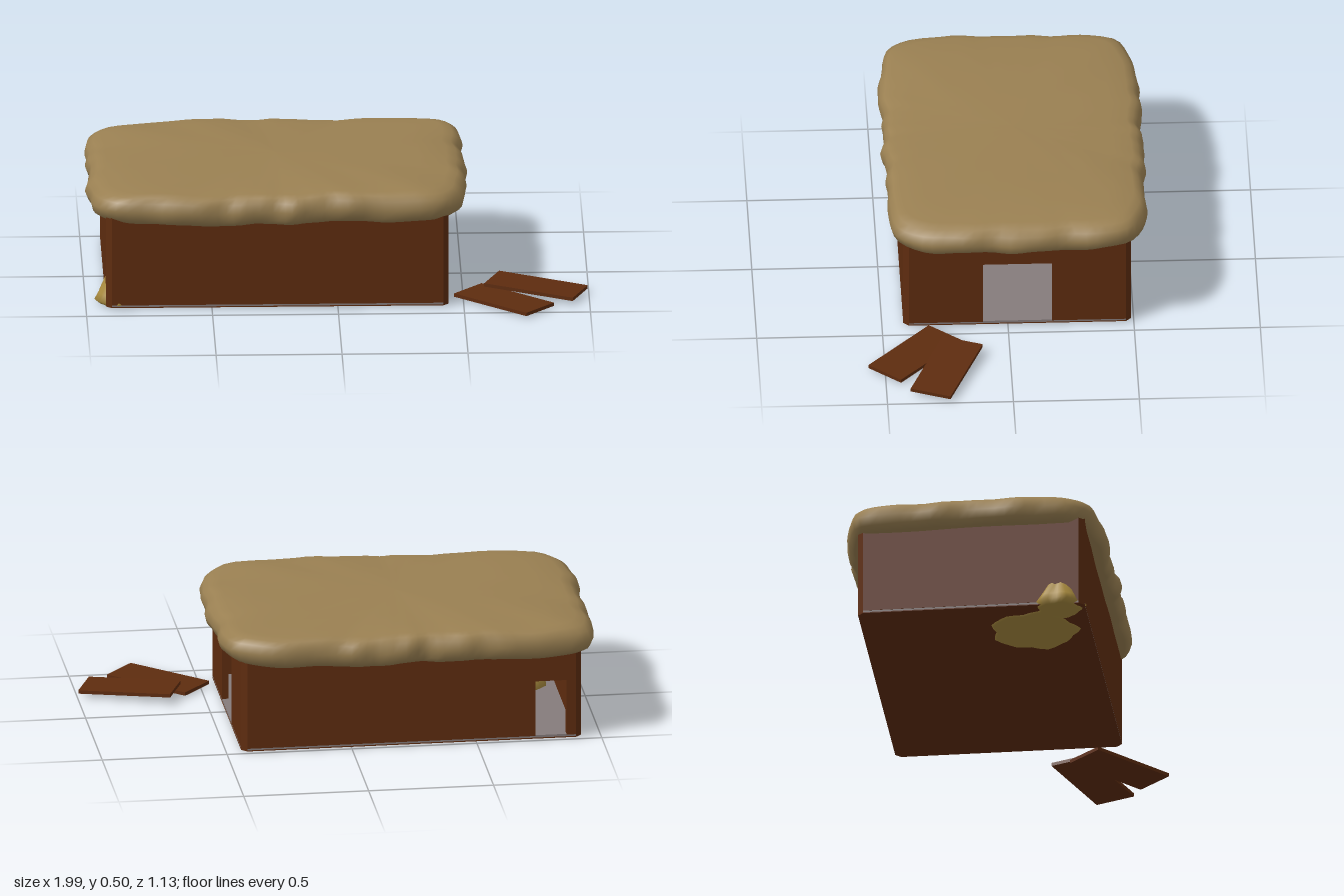
import * as THREE from 'three';

const mat = (name, color, side = THREE.FrontSide) => {
  const m = new THREE.MeshStandardMaterial({ color, side });
  m.name = name;
  return m;
};

// Smooth surface through rings of points, listed bottom to top
function loft(rings) {
  const n = rings[0].length, pos = rings.flat(2), idx = [];
  for (let i = 0; i < rings.length - 1; i++) {
    for (let j = 0; j < n; j++) {
      const k = (j + 1) % n, a = i * n, b = a + n;
      idx.push(a + j, b + j, a + k, a + k, b + j, b + k);
    }
  }
  const g = new THREE.BufferGeometry();
  g.setAttribute('position', new THREE.Float32BufferAttribute(pos, 3));
  g.setIndex(idx);
  g.computeVertexNormals();
  return g;
}

const polygon = pts => new THREE.Shape(pts.map(p => new THREE.Vector2(...p)));
const extrude = (shape, depth) => new THREE.ExtrudeGeometry(shape, { depth, bevelEnabled: false });

// House footprint and wall sizes
const X0 = -0.92, X1 = 0.44, Z0 = -0.49, Z1 = 0.415;
const CUT = 0.022, T = 0.026, FLOOR = 0.02, TOP = 0.39;

export function createModel() {
  const group = new THREE.Group();
  const wood = mat('brown wood', 0x5e2c0f);
  const thatch = mat('tan thatch', 0x9a8052);
  const straw = mat('yellow straw', 0xa88a3e, THREE.DoubleSide);
  const stone = mat('grey floor', 0x857b7b);
  const add = (name, geo, m, x = 0, y = 0, z = 0) => {
    const mesh = new THREE.Mesh(geo, m);
    mesh.name = name;
    mesh.position.set(x, y, z);
    group.add(mesh);
    return mesh;
  };

  // Floor slab with cut corners on a thin timber base
  const footprint = inset => {
    const l = X0 + inset, r = X1 - inset, b = Z0 + inset, f = Z1 - inset, c = CUT;
    return polygon([[l + c, -f], [r - c, -f], [r, c - f], [r, -b - c],
      [r - c, -b], [l + c, -b], [l, -b - c], [l, c - f]]);
  };
  const slab = (name, y, h, m, inset) =>
    add(name, extrude(footprint(inset), h).rotateX(-Math.PI / 2), m, 0, y, 0);
  slab('timberBase', 0.009, 0.004, wood, 0);
  slab('stoneFloor', 0.013, 0.01, stone, 0.001);

  // Walls, with a doorway notched out where given as [start, end, top]
  function wall(name, from, to, door) {
    const pts = [[from, FLOOR], [to, FLOOR], [to, TOP], [from, TOP]];
    if (door) pts.splice(1, 0, [door[0], FLOOR], [door[0], door[2]], [door[1], door[2]], [door[1], FLOOR]);
    return add(name, extrude(polygon(pts), T), wood);
  }
  wall('frontWall', X0 + CUT, X1 - CUT).position.z = Z1 - T;
  wall('backWall', X0 + CUT, X1 - CUT, [-0.86, -0.735, 0.25]).position.z = Z0;
  const right = wall('rightWall', -Z1 + CUT, -Z0 - CUT, [-0.1, 0.175, 0.29]);
  right.rotation.y = Math.PI / 2;
  right.position.x = X1 - T;
  const left = wall('leftWall', -Z1 + CUT, -Z0 - CUT);
  left.rotation.y = Math.PI / 2;
  left.position.x = X0;

  // Chamfered corner posts
  const post = extrude(polygon([[0, 0], [CUT, 0], [0, CUT]]), TOP - 0.01).rotateX(-Math.PI / 2);
  [[X1, Z0, 0], [X0, Z0, 1], [X0, Z1, 2], [X1, Z1, 3]].forEach(([x, z, turn]) => {
    const p = add('cornerPost', post, wood,
      x - Math.sign(x) * CUT, 0.01, z - Math.sign(z) * CUT);
    p.rotation.y = turn * Math.PI / 2;
  });

  // Thick, uneven thatched roof
  const profile = [[0, 0.372], [0.5, 0.37], [0.88, 0.366], [0.95, 0.366], [0.985, 0.385], [1, 0.42],
    [0.985, 0.455], [0.95, 0.474], [0.9, 0.484], [0.75, 0.492], [0.5, 0.499], [0.25, 0.503], [0, 0.504]];
  const roofRings = profile.map(([s, y]) => Array.from({ length: 128 }, (_, j) => {
    const a = j / 128 * Math.PI * 2, c = Math.cos(a), d = Math.sin(a);
    const r = (Math.abs(c / 0.75) ** 7 + Math.abs(d / 0.515) ** 7) ** (-1 / 7);
    const ripple = 0.006 * Math.sin(9 * a + 1) + 0.005 * Math.sin(17 * a + y * 20) + 0.003 * Math.sin(31 * a);
    const x = c * (r + ripple) * s - 0.235, z = d * (r + ripple) * s - 0.045;
    const bump = s * (0.005 * Math.sin(7 * x + 3 * z) + 0.003 * Math.sin(19 * x - 11 * z)) + 0.008 * (x + 0.235) * s;
    return [x, y + bump, z];
  }));
  add('thatchedRoof', loft(roofRings), thatch);

  // Lumpy straw heaps, one bulging through the left wall
  function heap(name, x, z, rx, rz, h) {
    const rings = [[0, 0], [0.8, 0], [1, 0.1], [0.86, 0.26], [0.6, 0.55], [0.34, 0.82], [0.15, 0.96], [0, 1]]
      .map(([s, y]) => Array.from({ length: 32 }, (_, j) => {
        const a = j / 32 * Math.PI * 2;
        const k = s * (1 + 0.06 * Math.sin(5 * a + y * 3) + 0.04 * Math.sin(9 * a));
        return [Math.cos(a) * rx * k, y * h, Math.sin(a) * rz * k];
      }));
    add(name, loft(rings), straw, x, 0.004, z);
  }
  heap('strawHeap', -0.68, 0.19, 0.2, 0.2, 0.23);
  heap('strawTuft', -0.87, 0.31, 0.09, 0.1, 0.17);

  // Small stepped stack inside the house
  const steps = [[0.065, FLOOR]];
  for (let i = 0; i < 9; i++) {
    const z = 0.065 + i * 0.0145, y = 0.036 + i * 0.0135;
    steps.push([z, y], [z + 0.0145, y]);
  }
  steps.push([0.1955, FLOOR]);
  const stack = add('steppedStack', extrude(polygon(steps.reverse()), 0.25), thatch, -0.65, 0, 0);
  stack.rotation.y = Math.PI / 2;

  // Loose planks lying outside the doorway
  const plank = (name, x, y, z, yaw, tilt) => {
    const p = add(name, new THREE.BoxGeometry(0.376, 0.014, 0.168), wood, x, y, z);
    p.rotation.set(0, yaw, tilt);
  };
  plank('lowerPlank', 0.66, 0.018, 0.378, -0.73, 0);
  plank('upperPlank', 0.79, 0.034, 0.257, -0.385, -0.045);

  return group;
}
